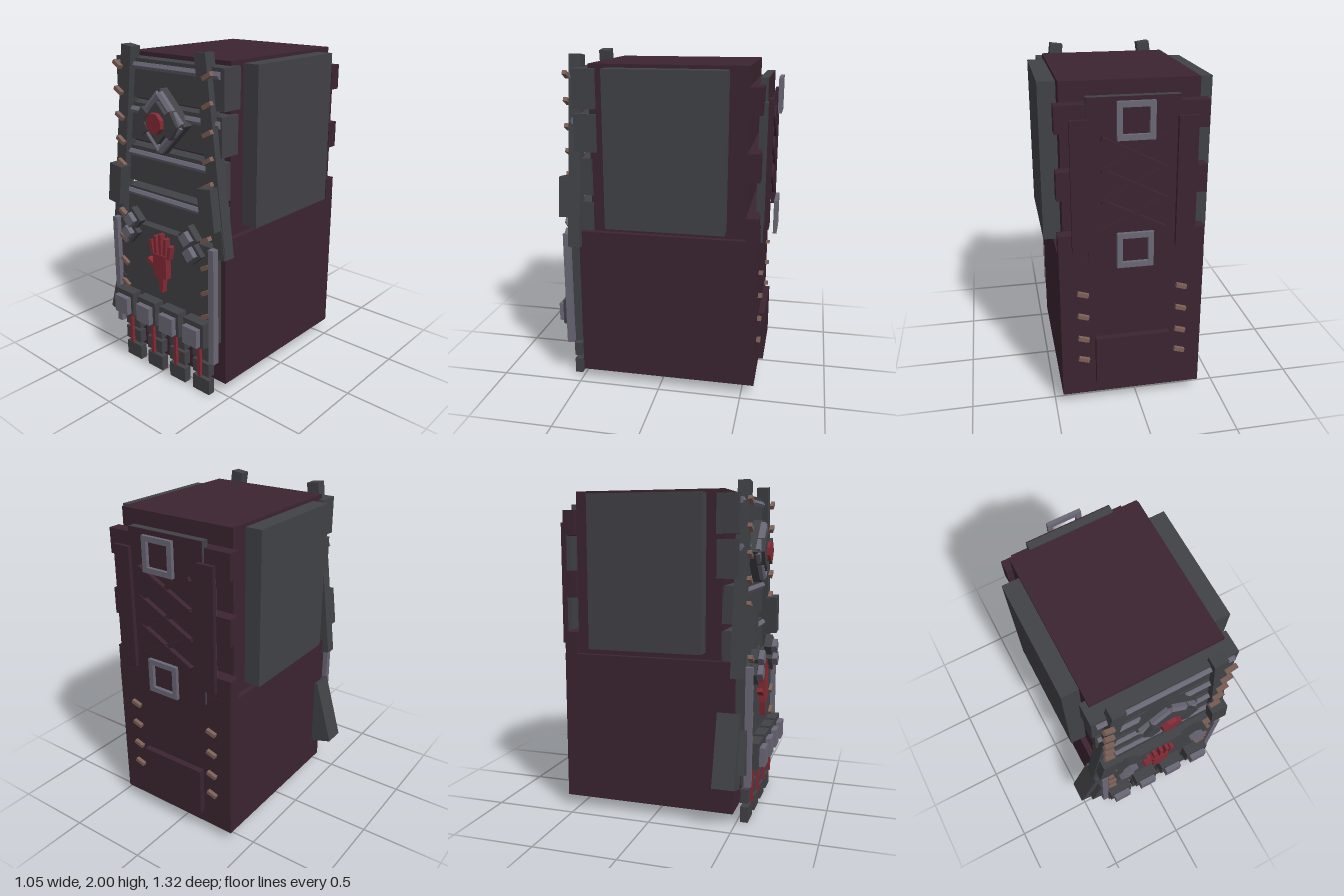
import * as THREE from 'three';

const mat = (name, color, flat = true) => {
  const m = new THREE.MeshStandardMaterial({ color });
  m.name = name;
  m.flatShading = flat;
  return m;
};

export function createModel() {
  const leather = mat('dark maroon leather', 0x3b2430);
  const iron = mat('dark iron', 0x414246);
  const steel = mat('grey steel', 0x6b6876);
  const red = mat('red enamel', 0x842b36);
  const stitch = mat('brown stitching', 0x7c6058);

  const model = new THREE.Group();
  model.name = 'armouredGauntlet';
  // the body is symmetric about a line slightly off centre
  const body = new THREE.Group();
  body.name = 'gauntletBody';
  body.position.x = 0.035;
  model.add(body);

  // box given by its limits in x, y, z, turned about its own z axis
  const box = (name, m, x0, x1, y0, y1, z0, z1, rot = 0, parent = body) => {
    const mesh = new THREE.Mesh(new THREE.BoxGeometry(x1 - x0, y1 - y0, Math.abs(z1 - z0)), m);
    mesh.position.set((x0 + x1) / 2, (y0 + y1) / 2, (z0 + z1) / 2);
    mesh.rotation.z = rot;
    mesh.name = name;
    parent.add(mesh);
    return mesh;
  };
  // box given by centre and size
  const slab = (name, m, x, y, w, h, z0, z1, rot = 0, parent = body) =>
    box(name, m, x - w / 2, x + w / 2, y - h / 2, y + h / 2, z0, z1, rot, parent);
  // faceted bar between two points in a z plane
  const bar = (name, m, x0, y0, x1, y1, z, r) => {
    const mesh = new THREE.Mesh(new THREE.CylinderGeometry(r, r, Math.hypot(x1 - x0, y1 - y0), 6), m);
    mesh.position.set((x0 + x1) / 2, (y0 + y1) / 2, z);
    mesh.rotation.z = Math.atan2(y1 - y0, x1 - x0) - Math.PI / 2;
    mesh.name = name;
    body.add(mesh);
  };

  // main masses
  box('handBlock', leather, -0.42, 0.42, 0.065, 0.975, -0.577, 0.487);
  box('cuffBlock', leather, -0.385, 0.385, 0.975, 1.95, -0.5, 0.41);

  // cuff plates with a steel rim near the top of each
  [[1.70, 1.925, 0.42, 0.37], [1.45, 1.67, 0.405, 0.37],
    [1.19, 1.41, 0.385, 0.4], [0.95, 1.15, 0.385, 0.4]].forEach(([y0, y1, w, z0], i) => {
    box('cuffPlate' + (i + 1), iron, -w, w, y0, y1, z0, 0.5);
    const y = [1.885, 1.628, 1.368, 1.118][i];
    bar('cuffPlateRim' + (i + 1), steel, -0.395, y, 0.395, y, 0.5, 0.022);
  });

  // back of hand plate
  box('handPlate', iron, -0.385, 0.385, 0.335, 0.95, 0.487, 0.56);

  for (const s of [-1, 1]) {
    const side = s < 0 ? 'right' : 'left';
    box(side + 'SidePad', iron, s < 0 ? -0.485 : 0.385, s < 0 ? -0.385 : 0.485, 1.02, 1.93, -0.39, 0.305);
    slab(side + 'HandRail', steel, s * 0.4, 0.595, 0.04, 0.71, 0.55, 0.59);
    // leaning straps with a thicker overlay
    slab(side + 'Strap', iron, s * 0.355, 1.44, 0.08, 1.12, 0.47, 0.54, s * 0.127);
    slab(side + 'StrapOverlay', iron, s * 0.372, 1.175, 0.1, 0.24, 0.53, 0.6, s * 0.127);
    slab(side + 'StrapEnd', iron, s * 0.412, 0.98, 0.075, 0.19, 0.47, 0.545, s * 0.127);
    // stitches on the cuff and the hand
    for (const y of [1.885, 1.735, 1.585, 1.44, 1.3])
      slab(side + 'CuffStitch', stitch, s * 0.35, y, 0.065, 0.024, 0.54, 0.565, s * 0.5);
    for (const y of [0.99, 0.825, 0.67, 0.52])
      slab(side + 'HandStitch', stitch, s * 0.343, y, 0.065, 0.024, 0.55, 0.58, s * 0.5);
    // diamond studs
    for (const [x, y, a] of [[0.232, 0.98, 0.75], [0.26, 0.895, 0.72]]) {
      slab(side + 'StudBase', iron, s * x, y, 0.105, 0.105, 0.55, 0.595, s * a);
      slab(side + 'Stud', steel, s * x, y, 0.065, 0.065, 0.59, 0.627, s * a);
    }
    // strips and stitches on the back
    slab(side + 'BackStrip', leather, s * 0.292, 1.4, 0.11, 0.74, -0.625, -0.6);
    slab(side + 'BackStripLiner', iron, s * 0.292, 1.4, 0.07, 0.7, -0.6, -0.57);
    for (const y of [0.745, 0.6, 0.45, 0.31])
      slab(side + 'BackStitch', stitch, s * 0.29, y, 0.065, 0.024, -0.6, -0.57, 0.3);
  }

  // diamond emblem
  const ey = 1.597;
  slab('emblemPlate', iron, 0, ey, 0.265, 0.265, 0.5, 0.56, Math.PI / 4);
  const r = 0.16;
  for (const sx of [-1, 1]) {
    for (const sy of [-1, 1])
      bar('emblemFrame', steel, sx * r, ey, 0, ey + sy * r, 0.56, 0.024);
    for (const sy of [-1, 1])
      slab('emblemClasp', iron, sx * 0.115, ey + sy * 0.022, 0.06, 0.1, 0.55, 0.6, sx * sy * 0.6);
  }
  slab('emblemCore', iron, 0, ey, 0.17, 0.17, 0.55, 0.59, Math.PI / 4);
  const gem = new THREE.Mesh(new THREE.CylinderGeometry(0.06, 0.066, 0.05, 8), red);
  gem.geometry.rotateY(Math.PI / 8);
  gem.rotation.x = Math.PI / 2;
  gem.position.set(0, ey, 0.59);
  gem.name = 'emblemGem';
  body.add(gem);

  // red hand mark
  const mark = new THREE.Group();
  mark.name = 'handMark';
  body.add(mark);
  slab('palm', red, 0, 0.74, 0.108, 0.145, 0.555, 0.6, 0, mark);
  [[-0.073, 0.843, 0.085, 0.2], [-0.04, 0.86, 0.12, 0.07], [0, 0.87, 0.14, 0],
    [0.038, 0.86, 0.12, -0.08], [0.072, 0.84, 0.085, -0.2]].forEach(([x, y, h, a]) =>
    slab('finger', red, x, y, 0.022, h, 0.555, 0.595, a, mark));
  slab('thumb', red, -0.08, 0.738, 0.075, 0.026, 0.555, 0.595, -0.5, mark);
  const wristShape = new THREE.Shape([[-0.025, 0.68], [-0.006, 0.57], [0.014, 0.57], [0.025, 0.68]]
    .map(([x, y]) => new THREE.Vector2(x, y)));
  const wrist = new THREE.Mesh(new THREE.ExtrudeGeometry(wristShape, { depth: 0.04, bevelEnabled: false }), red);
  wrist.position.z = 0.555;
  wrist.name = 'wrist';
  mark.add(wrist);

  // knuckles and jointed fingers
  for (let i = 0; i < 4; i++) {
    const x = (i - 1.5) * 0.198 - 0.003;
    slab('knuckle', iron, x, 0.418, 0.155, 0.155, 0.54, 0.627);
    slab('knuckleCap', steel, x, 0.408, 0.112, 0.112, 0.62, 0.66);
    for (const [y0, y1] of [[0.225, 0.32], [0.12, 0.205], [0, 0.095]])
      box('fingerPlate', iron, x - 0.065, x + 0.065, y0, y1, 0.52, 0.567);
    slab('fingerRod', red, x, 0.22, 0.022, 0.215, 0.56, 0.585);
  }

  // leaning pouch at the side
  slab('sidePouch', iron, -0.43, 0.453, 0.145, 0.435, 0.39, 0.525, -0.283);
  slab('sidePouchPanel', iron, -0.42, 0.45, 0.075, 0.26, 0.52, 0.565, -0.283);

  // back of the cuff: bands, panel, lacing and buckles
  for (const [y0, y1] of [[1.69, 1.84], [1.32, 1.48], [0.975, 1.11]])
    box('backBand', leather, -0.42, 0.42, y0, y1, -0.575, -0.5);
  box('backPanel', iron, -0.255, 0.255, 0.92, 1.88, -0.59, -0.545);
  box('backPanelFace', leather, -0.255, 0.255, 0.92, 1.88, -0.596, -0.59);
  for (let i = 0; i < 3; i++)
    for (const s of [-1, 1])
      slab('lace', leather, 0, 1.225 + i * 0.175, 0.4, 0.026, s < 0 ? -0.618 : -0.625, -0.59, s * 0.47);

  const square = (Ctor, h) => new Ctor([[-h, -h], [h, -h], [h, h], [-h, h]]
    .map(([x, y]) => new THREE.Vector2(x, y)));
  const buckleShape = square(THREE.Shape, 0.103);
  buckleShape.holes.push(square(THREE.Path, 0.072));
  const buckleGeo = new THREE.ExtrudeGeometry(buckleShape, { depth: 0.022, bevelEnabled: false });
  for (const y of [1.765, 1.035]) {
    const buckle = new THREE.Mesh(buckleGeo, steel);
    buckle.position.set(0, y, -0.66);
    buckle.name = 'buckle';
    body.add(buckle);
  }

  // pocket on the palm side
  box('palmPatch', leather, -0.22, 0.22, 0.145, 0.455, -0.615, -0.57);
  return model;
}
